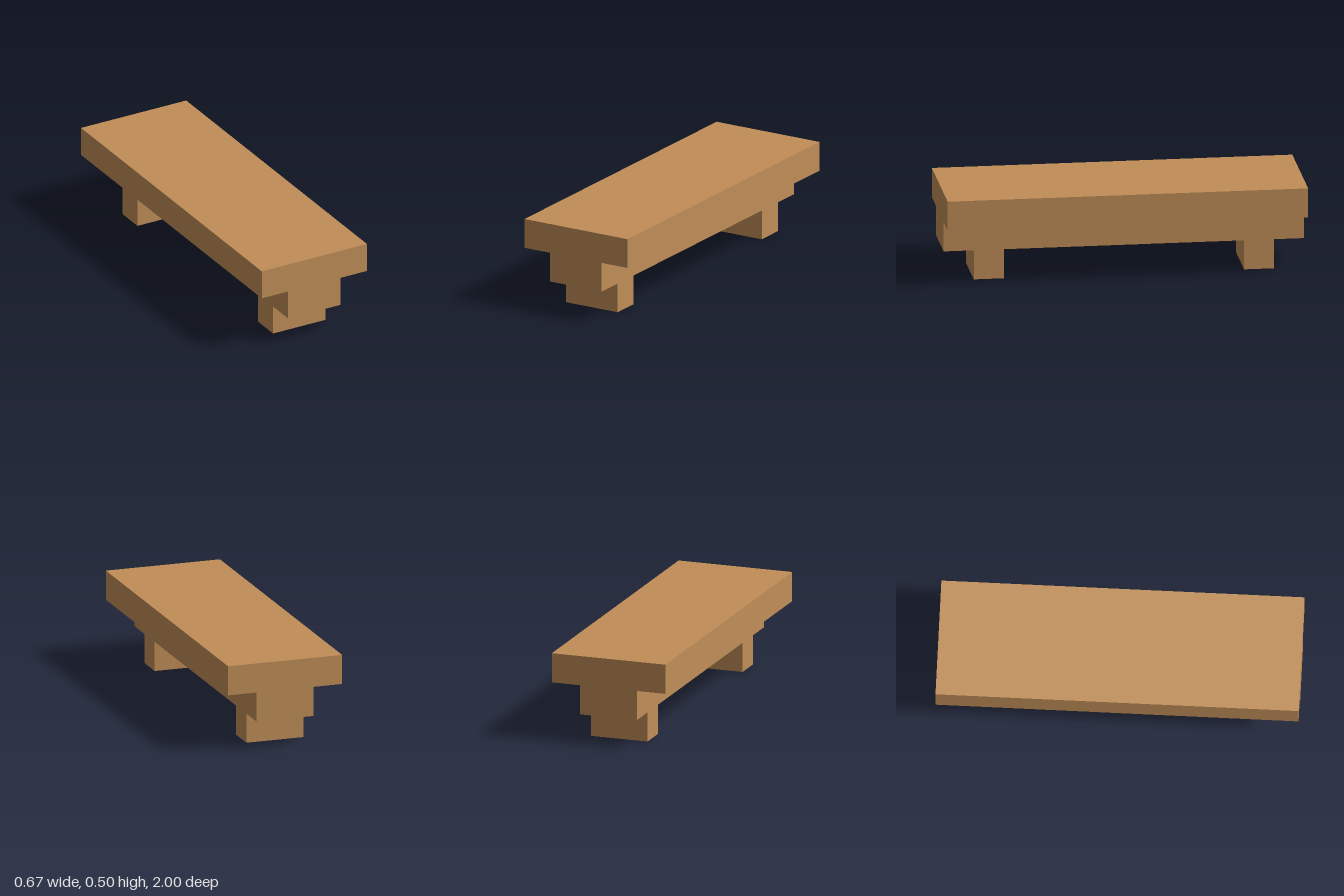
import * as THREE from 'three';

export function createModel() {
  const model = new THREE.Group();
  model.name = 'bench';

  const wood = new THREE.MeshStandardMaterial({ color: 0xc18e58 });
  wood.name = 'wood';

  const U = 1 / 6; // building unit: every size is a multiple of it
  const length = 12 * U;

  // Seat slab and the narrower beam below it: one T section along z
  const section = new THREE.Shape([
    [-U, U], [U, U], [U, 2 * U], [2 * U, 2 * U],
    [2 * U, 3 * U], [-2 * U, 3 * U], [-2 * U, 2 * U], [-U, 2 * U],
  ].map(([x, y]) => new THREE.Vector2(x, y)));
  const seatGeometry = new THREE.ExtrudeGeometry(section, { depth: length, bevelEnabled: false });
  seatGeometry.translate(0, 0, -length / 2);
  const seat = new THREE.Mesh(seatGeometry, wood);
  seat.name = 'seatAndBeam';
  model.add(seat);

  // Block feet, set in from both ends
  const footGeometry = new THREE.BoxGeometry(2 * U, U, U);
  for (const [name, side] of [['frontFoot', 1], ['backFoot', -1]]) {
    const foot = new THREE.Mesh(footGeometry, wood);
    foot.name = name;
    foot.position.set(0, U / 2, side * 4.5 * U);
    model.add(foot);
  }

  return model;
}
